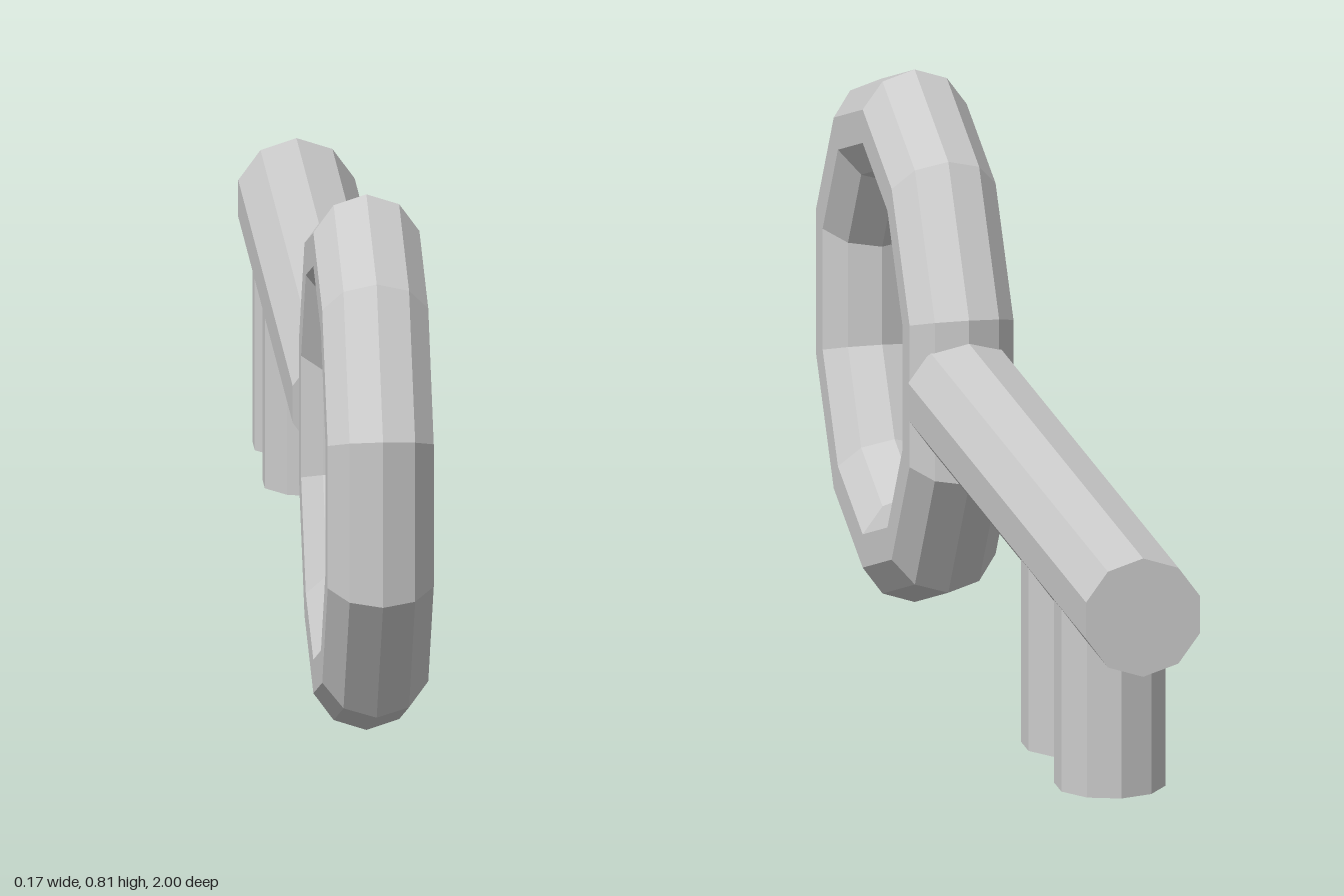
import * as THREE from 'three';

const SIDES = 10;
const AXIS_Y = 0.408; // height of the shaft axis and ring centre

export function createModel() {
  const key = new THREE.Group();
  key.name = 'key';
  const material = new THREE.MeshStandardMaterial({ color: 0xcccccc, flatShading: true });

  function add(name, geometry, y, z) {
    const mesh = new THREE.Mesh(geometry, material);
    mesh.name = name;
    mesh.position.set(0, y, z);
    key.add(mesh);
  }

  // Ring handle, standing in the yz plane with a corner at the top and bottom
  const ring = new THREE.TorusGeometry(0.323, 0.082, SIDES, SIDES);
  ring.rotateZ(Math.PI / 2).rotateY(Math.PI / 2);
  add('ringHandle', ring, AXIS_Y, 0.615);

  // Shaft running back from the ring
  const front = 0.257, back = -1;
  const shaft = new THREE.CylinderGeometry(0.09, 0.09, front - back, SIDES);
  shaft.rotateX(Math.PI / 2);
  add('shaft', shaft, AXIS_Y, (front + back) / 2);

  // Two teeth hanging from the shaft
  const toothBottom = 0.092;
  const toothHeight = AXIS_Y - toothBottom;
  [-0.531, -0.764].forEach((z, i) => {
    const tooth = new THREE.CylinderGeometry(0.082, 0.082, toothHeight, SIDES);
    add(i === 0 ? 'frontTooth' : 'backTooth', tooth, toothBottom + toothHeight / 2, z);
  });

  return key;
}
